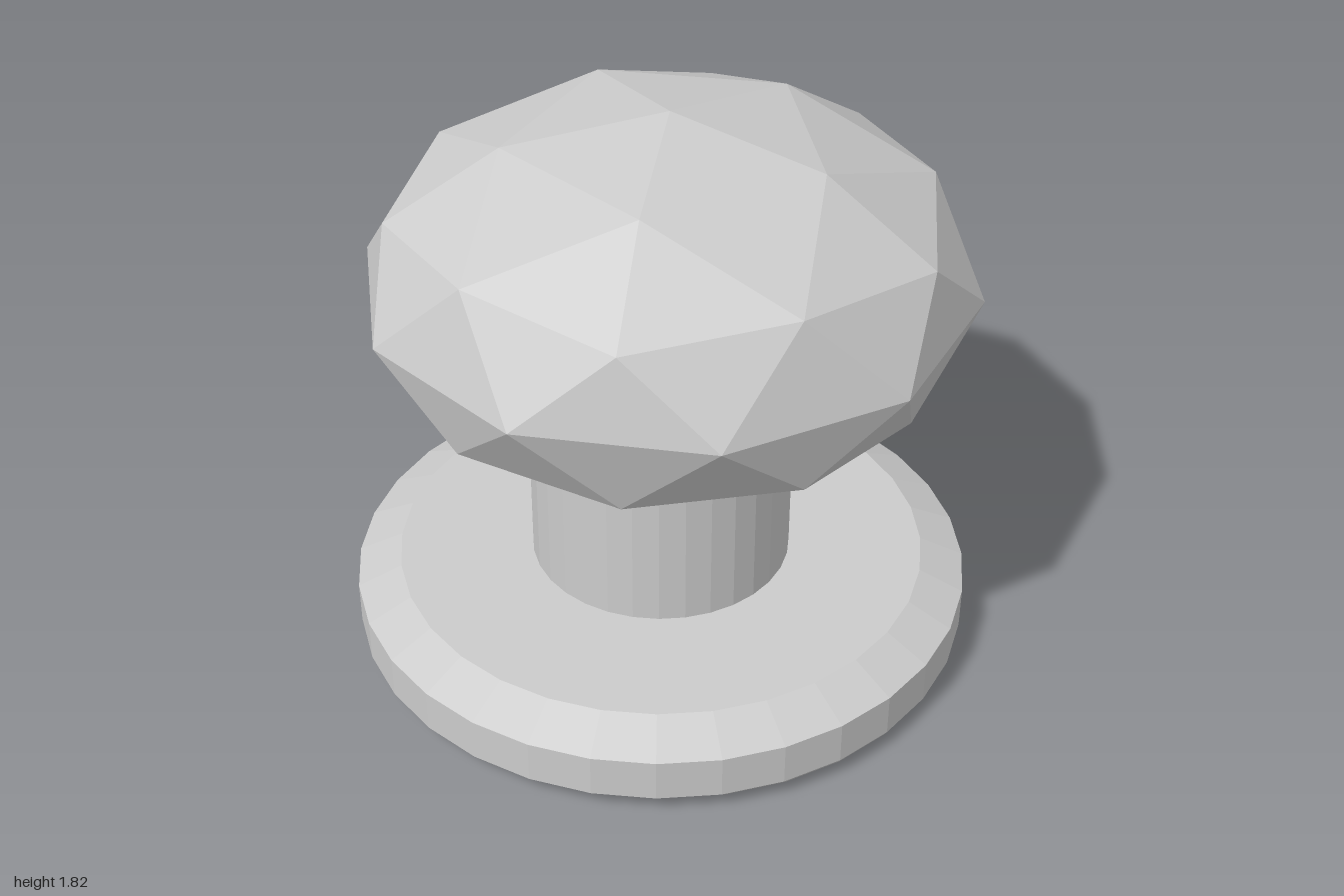
import * as THREE from 'three';

const SIDES = 32;
const KNOB_X = 0.037; // the knob and the foot ring sit slightly off the axis

const material = new THREE.MeshStandardMaterial({
  color: 0xcccccc, flatShading: true, side: THREE.DoubleSide,
});

function addPart(group, name, geometry) {
  const mesh = new THREE.Mesh(geometry, material);
  mesh.name = name;
  group.add(mesh);
  return mesh;
}

// Surface turned around the y axis from [radius, height] pairs, bottom to top
function turned(profile) {
  return new THREE.LatheGeometry(profile.map(([r, y]) => new THREE.Vector2(r, y)), SIDES);
}

export function createModel() {
  const group = new THREE.Group();
  group.name = 'doorKnob';

  // Bevelled base plate: a hollow shell, open underneath and at the shaft
  const plate = turned([[0.958, 0], [1, 0.065], [1, 0.205], [0.858, 0.27], [0.423, 0.27]]);
  const pos = plate.attributes.position;
  for (let i = 0; i < pos.count; i++) {
    if (pos.getY(i) < 0.01) pos.setX(i, pos.getX(i) + KNOB_X);
  }
  addPart(group, 'basePlate', plate);

  // Open tube between the plate and the knob
  addPart(group, 'shaft', turned([[0.423, 0.27], [0.423, 0.83]]));

  // Faceted knob: a once-divided icosahedron with a corner up, flattened in height
  const knob = new THREE.IcosahedronGeometry(1, 1);
  knob.rotateZ(-Math.atan(2 / (1 + Math.sqrt(5))));
  knob.scale(0.958, 0.553, 0.958);
  addPart(group, 'knob', knob).position.set(KNOB_X, 1.265, 0);

  return group;
}
